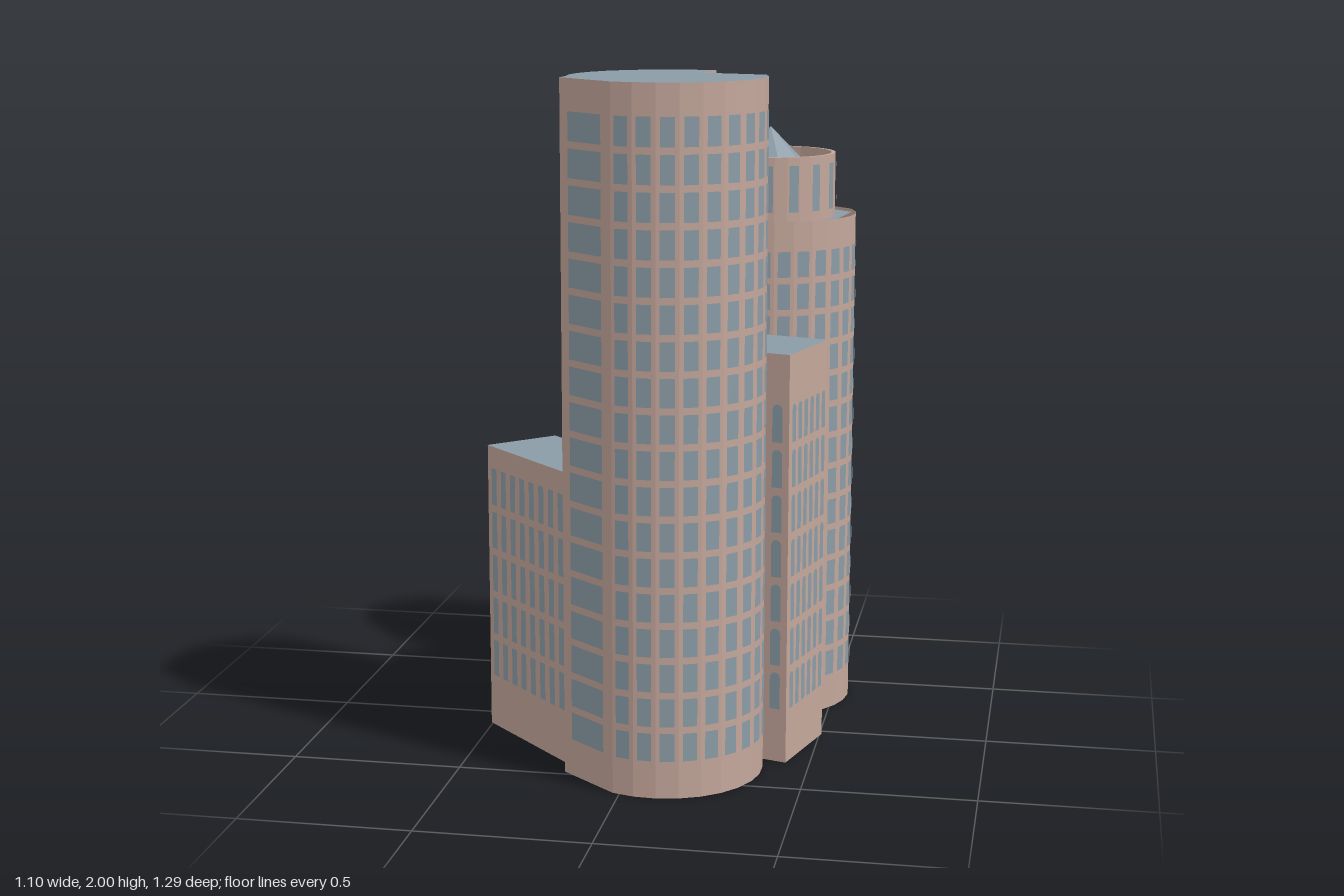
import * as THREE from 'three';
import { mergeGeometries } from 'three/addons/utils/BufferGeometryUtils.js';

const mat = (name, color, side = THREE.DoubleSide) => {
  const m = new THREE.MeshStandardMaterial({ color, side });
  m.name = name;
  return m;
};

// Points [x, z] along an arc; angles in degrees measured from +x towards +z
const arc = (cx, cz, r, from, to, n) =>
  Array.from({ length: n + 1 }, (_, i) => {
    const a = THREE.MathUtils.degToRad(from + ((to - from) * i) / n);
    return [cx + r * Math.cos(a), cz + r * Math.sin(a)];
  });

// Arched window outline, centred on its origin
function archGeometry(w, h) {
  const s = new THREE.Shape();
  s.moveTo(-w / 2, -h / 2);
  s.lineTo(w / 2, -h / 2);
  s.lineTo(w / 2, h / 2 - w / 2);
  s.absarc(0, h / 2 - w / 2, w / 2, 0, Math.PI, false);
  return new THREE.ShapeGeometry(s, 4);
}

export function createModel() {
  const wall = mat('stone wall', 0xc4a79b);
  const glass = mat('slate glass', 0x8b9ca7, THREE.FrontSide);
  const roof = mat('slate roof', 0x8b9ca7);
  const sky = mat('skylight blue', 0xa9c8de);

  const model = new THREE.Group();
  const add = (parent, name, geo, material) => {
    const m = new THREE.Mesh(geo, material);
    m.name = name;
    parent.add(m);
    return m;
  };

  // Stand an upright piece on the edge a-b, facing out
  function onEdge(geo, a, b, u, y, out) {
    const dx = b[0] - a[0], dz = b[1] - a[1];
    return geo.translate(u, 0, out).rotateY(Math.atan2(-dz, dx))
      .translate((a[0] + b[0]) / 2, y, (a[1] + b[1]) / 2);
  }

  // Block from a footprint; windows(i, length) gives the window grid of edge i
  function block(name, pts, height, windows, roofPts = pts, roofY = height) {
    const g = new THREE.Group();
    g.name = name;
    model.add(g);
    const flat = (p) => p.map(([x, z]) => new THREE.Vector2(x, -z));
    const ccw = THREE.ShapeUtils.area(flat(pts)) > 0;
    const walls = [], panes = [];
    pts.forEach((p, i) => {
      const q = pts[(i + 1) % pts.length];
      const [a, b] = ccw ? [p, q] : [q, p];
      const len = Math.hypot(b[0] - a[0], b[1] - a[1]);
      walls.push(onEdge(new THREE.PlaneGeometry(len, height), a, b, 0, height / 2, 0));
      const w = windows(i, len);
      if (!w) return;
      const pitch = (w.y1 - w.y0) / w.rows;
      for (let r = 0; r < w.rows; r++) {
        for (let c = 0; c < w.cols; c++) {
          const h = pitch - w.gap;
          const pane = w.arched ? archGeometry(w.width, h) : new THREE.PlaneGeometry(w.width, h);
          const u = ((c + 0.5) / w.cols - 0.5) * len * 0.94;
          panes.push(onEdge(pane, a, b, u, w.y0 + pitch * (r + 0.5), 0.003));
        }
      }
    });
    add(g, name + 'Walls', mergeGeometries(walls), wall);
    if (panes.length) add(g, name + 'Windows', mergeGeometries(panes), glass);
    const top = new THREE.ShapeGeometry(new THREE.Shape(flat(roofPts)));
    add(g, name + 'Roof', top.rotateX(-Math.PI / 2).translate(0, roofY, 0), roof);
    return g;
  }

  // Tall front tower: front arc, side notch, back arc and a broad flat face
  const frontPts = [
    ...arc(0.09, 0.365, 0.28, 113, -19.7, 10),
    [0.156, 0.213],
    ...arc(0.09, 0.365, 0.28, -70, -192, 9),
    [-0.19, 0.48],
  ];
  block('frontTower', frontPts, 2, (i, len) => {
    const grid = { y0: 0.1, y1: 1.92, rows: 18, cols: 1, gap: 0.02, width: 0.041 };
    if (i === frontPts.length - 1) return { ...grid, width: len * 0.65 };
    return i === 10 || i === 11 || i === 21 ? null : grid;
  });

  // Rear tower: its roof stops short of the wall on the outer side
  const rearPts = [
    [0.52, -0.492],
    ...arc(0.28, -0.375, 0.265, -24, 170, 15),
    [0.09, -0.43],
    ...arc(0.28, -0.375, 0.26, 216, 277, 5),
    [0.36, -0.645],
  ];
  const rearRoof = rearPts.filter(([x, z]) => !(x > 0.485 && z > -0.488));
  const rear = block('rearTower', rearPts, 1.54, (i, len) => {
    const grid = { y0: 0.1, y1: 1.46, rows: 14, cols: 1, gap: 0.02, width: 0.038 };
    if (i === rearPts.length - 1) return { ...grid, width: len * 0.62 };
    if (i === 16) return { ...grid, cols: 2 };
    return len < 0.045 || i === 17 ? null : grid;
  }, rearRoof, 1.53);

  // Drum with a narrow rim, slit windows and a pyramid roof
  const drum = new THREE.Group();
  drum.name = 'drum';
  drum.position.set(0.28, 0, -0.375);
  rear.add(drum);
  const drumProfile = [[0.188, 1.62], [0.188, 1.725], [0.2, 1.725], [0.2, 1.53]];
  const drumGeo = new THREE.LatheGeometry(
    drumProfile.map(([r, y]) => new THREE.Vector2(r, y)), 32).toNonIndexed();
  drumGeo.computeVertexNormals();
  add(drum, 'drumWall', drumGeo, wall);
  add(drum, 'drumFloor', new THREE.CircleGeometry(0.19, 32)
    .rotateX(-Math.PI / 2).translate(0, 1.63, 0), roof);
  const slits = [];
  for (let i = 0; i < 16; i++) {
    slits.push(new THREE.PlaneGeometry(0.03, 0.14).translate(0, 1.63, 0.203)
      .rotateY(((i + 0.25) * Math.PI) / 8));
  }
  add(drum, 'drumWindows', mergeGeometries(slits), glass);
  const cone = new THREE.ConeGeometry(0.167, 0.17, 8, 1, true).toNonIndexed();
  cone.computeVertexNormals();
  add(drum, 'pyramidRoof', cone.rotateY(Math.PI / 8).translate(0, 1.718, 0), roof);

  // Side block with arched windows
  const sidePts = [[0.156, 0.213], [0.43, 0.292], [0.506, 0.024], [0.232, -0.058]];
  block('sideBlock', sidePts, 1.215, (i) => i === 3 ? null : {
    y0: 0.15, y1: 1.08, rows: 7, cols: i === 1 ? 6 : 5,
    gap: 0.022, width: i === 1 ? 0.026 : 0.032, arched: true,
  });

  // Angled wing beside the front tower
  const wingPts = [
    [-0.505, 0.1], [-0.335, -0.065], [-0.17, 0.1], [-0.11, 0.165], [-0.185, 0.425],
  ];
  block('angledWing', wingPts, 0.875, (i) => {
    if (i !== 0 && i !== 4) return null;
    return { y0: 0.15, y1: 0.82, rows: 5, cols: i === 4 ? 8 : 4, gap: 0.022, width: 0.028 };
  });

  // Low curved wing at the back
  const backPts = [
    [-0.52, -0.195], [-0.55, -0.325], [-0.42, -0.405], [-0.29, -0.472], [-0.155, -0.525],
    [-0.02, -0.56], [0.08, -0.547], [0.047, -0.49], [0.085, -0.43], [0.018, -0.33],
    [-0.35, -0.165],
  ];
  block('backWing', backPts, 0.6, (i) => {
    if (i > 5 && i !== 10) return null;
    return { y0: 0.15, y1: 0.55, rows: 3, cols: i === 0 || i === 5 ? 3 : 4, gap: 0.022, width: 0.024 };
  });

  // Low hall linking the buildings, glazed at both entrances
  const hallPts = [
    [-0.35, -0.165], [-0.318, -0.1], [-0.335, -0.065], [-0.11, 0.165], [0, 0.12],
    [0.185, 0.1], [0.232, -0.058], [0.242, -0.112], [0.1, -0.2], [0.018, -0.33],
  ];
  const hall = block('hall', hallPts, 0.165, (i, len) =>
    i === 0 || i === 1 || i === 6
      ? { y0: 0, y1: 0.1, rows: 1, cols: 1, gap: 0, width: len * 0.96 } : null);

  // Faceted skylight dome
  const dome = new THREE.SphereGeometry(0.167, 16, 4, 0, Math.PI * 2, 0, Math.PI / 2)
    .scale(1, 0.39, 1).toNonIndexed();
  dome.computeVertexNormals();
  add(hall, 'dome', dome.translate(-0.07, 0.165, -0.075), sky);

  return model;
}
